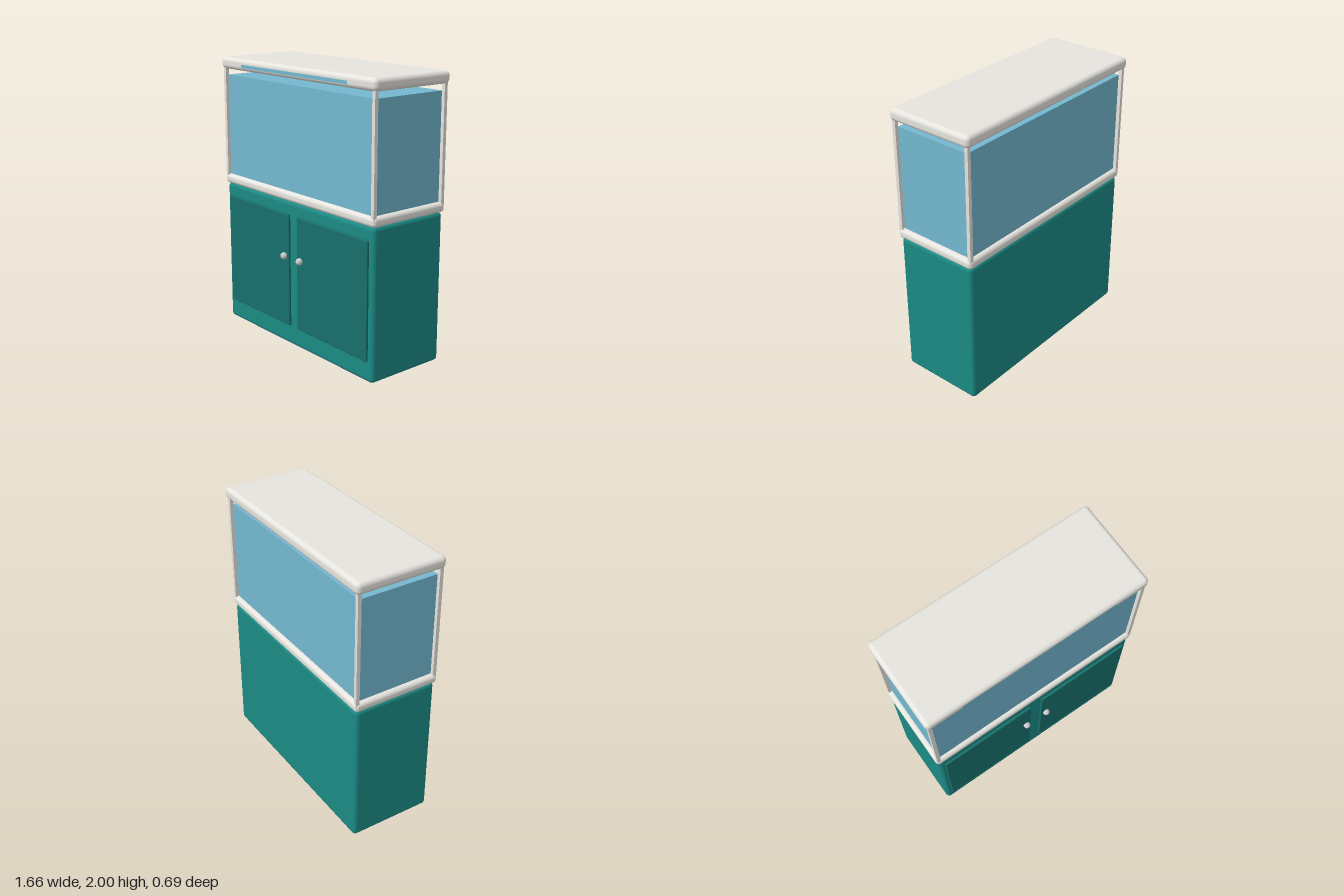
import * as THREE from 'three';
import { RoundedBoxGeometry } from 'three/addons/geometries/RoundedBoxGeometry.js';

const mat = (color) => new THREE.MeshStandardMaterial({ color });

export function createModel() {
  const model = new THREE.Group();
  model.name = 'aquariumOnCabinet';
  const teal = mat(0x1b8a84);
  const darkTeal = mat(0x18706c);
  const white = mat(0xe6e4de);
  const blue = mat(0x74b8d0);
  const steel = mat(0xcccccc);

  // Box given by its limits on each axis, rounded when r > 0
  function box(name, material, [x0, x1], [y0, y1], [z0, z1], r = 0) {
    const size = [x1 - x0, y1 - y0, z1 - z0];
    const geometry = r > 0
      ? new RoundedBoxGeometry(...size, 5, r)
      : new THREE.BoxGeometry(...size);
    const mesh = new THREE.Mesh(geometry, material);
    mesh.name = name;
    mesh.position.set((x0 + x1) / 2, (y0 + y1) / 2, (z0 + z1) / 2);
    model.add(mesh);
    return mesh;
  }

  // Cabinet, tank rim, water and lid
  box('cabinet', teal, [-0.81, 0.81], [0, 1.065], [-0.325, 0.295], 0.03);
  box('tankRim', white, [-0.822, 0.822], [1.062, 1.132], [-0.335, 0.307], 0.028);
  box('water', blue, [-0.788, 0.788], [1.12, 1.87], [-0.303, 0.277]);
  box('lid', white, [-0.828, 0.828], [1.915, 2], [-0.345, 0.315], 0.032);

  // Light strip, flush with the lid's front
  box('lightStrip', blue, [-0.57, 0.57], [1.938, 1.962], [0.28, 0.3153]);

  // Corner posts
  for (const x of [-0.8, 0.8]) {
    for (const z of [-0.316, 0.288]) {
      box('cornerPost', white, [x - 0.013, x + 0.013], [1.11, 1.94], [z - 0.013, z + 0.013]);
    }
  }

  // Doors with round knobs, mirrored
  for (const side of [-1, 1]) {
    const edges = side < 0 ? [-0.767, -0.045] : [0.045, 0.767];
    box('door', darkTeal, edges, [0.15, 0.975], [0.27, 0.312], 0.008);
    const knob = new THREE.Mesh(new THREE.SphereGeometry(0.025, 24, 16), steel);
    knob.name = 'knob';
    knob.position.set(side * 0.087, 0.667, 0.322);
    model.add(knob);
  }
  return model;
}
